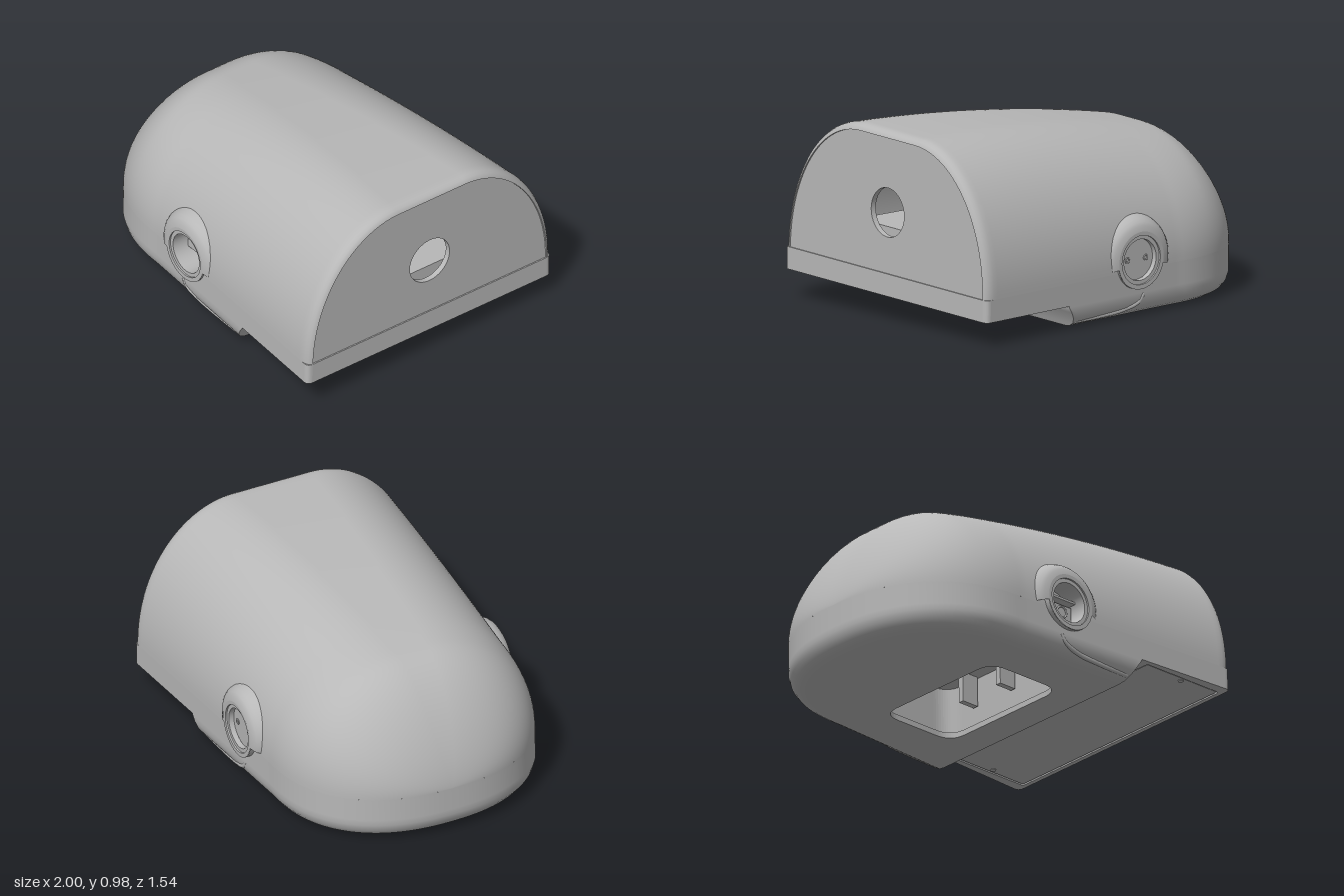
import * as THREE from 'three';

const grey = new THREE.MeshStandardMaterial({ color: 0xb8b8b8, side: THREE.DoubleSide });
grey.name = 'plastic grey';

const SEAM = 0.25, FLOOR = 0.136, BOTTOM = 0.012, ROUND = 2.3;
const SOCKET = { x: -0.07, y: 0.303, z: 0.73 };

// half width, roof height and flat share of the roof along the length
const halfWidth = x => x < -0.35
  ? 0.69 * Math.max(0, 1 - ((-x - 0.35) / 0.65) ** ROUND) ** (1 / ROUND)
  : 0.69 + (x + 0.35) * 0.0586;
const roof = x => {
  const e = x < -0.58 ? Math.max(0, 1 - ((x + 0.58) / 0.42) ** 2) ** 0.69 : 1;
  return SEAM + (0.973 - 0.062 * (0.95 - x) ** 2 - SEAM) * e;
};
const flatShare = x => Math.max(0.12, 0.28 + (x - 0.95) * 0.1);

function add(parent, name, geometry, x = 0, y = 0, z = 0) {
  const mesh = new THREE.Mesh(geometry, grey);
  mesh.name = name;
  mesh.position.set(x, y, z);
  parent.add(mesh);
  return mesh;
}

// skin over rows of points, left open where the side sockets sit
function skin(rows) {
  const n = rows[0].length, index = [];
  for (let r = 0; r < rows.length - 1; r++) {
    for (let c = 0; c < n - 1; c++) {
      const q = [rows[r][c], rows[r + 1][c], rows[r + 1][c + 1], rows[r][c + 1]];
      const cx = q.reduce((s, p) => s + p.x, 0) / 4, cy = q.reduce((s, p) => s + p.y, 0) / 4;
      const wide = q.every(p => Math.abs(p.z) > 0.5);
      if (wide && Math.hypot(cx - SOCKET.x, cy - SOCKET.y) < 0.125) continue;
      const a = r * n + c, b = a + n;
      index.push(a, b, b + 1, a, b + 1, a + 1);
    }
  }
  const g = new THREE.BufferGeometry().setFromPoints(rows.flat());
  g.setIndex(index);
  g.computeVertexNormals();
  return g;
}

// flat-topped arch section, from the left seam over to the right seam
function arch(x, inset = 0) {
  const w = Math.max(0, halfWidth(x) - inset), h = roof(x) - inset - SEAM, f = flatShare(x), half = [];
  for (let i = 0; i <= 32; i++) {
    const a = (i / 32) * Math.PI / 2;
    half.push(new THREE.Vector3(x, SEAM + h * Math.sin(a), w * (f + (1 - f) * Math.cos(a))));
  }
  return [...half, ...half.slice().reverse().map(p => new THREE.Vector3(p.x, p.y, -p.z))];
}

// U-shaped plan outline of the base at one height
function baseLoop(y, inset, rear) {
  const half = [];
  for (let i = 0; i <= 30; i++) {
    const x = rear + (-0.35 - rear) * i / 30;
    half.push(new THREE.Vector3(x, y, halfWidth(x) - inset));
  }
  for (let i = 1; i <= 36; i++) {
    const a = (i / 36) * Math.PI / 2, c = Math.max(0, Math.cos(a));
    half.push(new THREE.Vector3(-0.35 - (0.65 - inset) * Math.sin(a) ** (2 / ROUND), y, (0.69 - inset) * c ** (2 / ROUND)));
  }
  const other = half.slice(0, -1).reverse().map(p => new THREE.Vector3(p.x, p.y, -p.z));
  const loop = [...half, ...other];
  return [...loop, loop[loop.length - 1].clone(), loop[0].clone()];
}

function roundedRect(T, x0, x1, z, r) {
  const s = new T();
  s.moveTo(x0 + r, -z).lineTo(x1 - r, -z).quadraticCurveTo(x1, -z, x1, -z + r)
    .lineTo(x1, z - r).quadraticCurveTo(x1, z, x1 - r, z)
    .lineTo(x0 + r, z).quadraticCurveTo(x0, z, x0, z - r)
    .lineTo(x0, -z + r).quadraticCurveTo(x0, -z, x0 + r, -z);
  return s;
}

// plan of the rear sill, with rounded rear corners
function sillShape() {
  const w0 = halfWidth(0.36), w1 = halfWidth(0.945);
  return new THREE.Shape().moveTo(0.36, -w0).lineTo(0.945, -w1).quadraticCurveTo(0.975, -w1, 0.975, -w1 + 0.033)
    .lineTo(0.975, w1 - 0.033).quadraticCurveTo(0.975, w1, 0.945, w1).lineTo(0.36, w0);
}

// plate lying flat: outline in x and z, from height y0 up to y1
function flatPlate(parent, name, shape, y0, y1) {
  const g = new THREE.ExtrudeGeometry(shape, { depth: y1 - y0, bevelEnabled: false });
  return add(parent, name, g.rotateX(Math.PI / 2), 0, y1, 0);
}

function lathe(points, start = 0, sweep = Math.PI * 2) {
  const v = points.map(p => new THREE.Vector2(p[0], p[1]));
  return new THREE.LatheGeometry(v, 48, start, sweep).rotateX(Math.PI / 2);
}

// round side socket, facing +z
function socket(name, deep) {
  const g = new THREE.Group();
  g.name = name;
  add(g, 'socketHood', lathe([[0.225, -0.085], [0.215, -0.055], [0.204, -0.035], [0.19, -0.019], [0.172, -0.007], [0.145, -0.001]],
    Math.PI / 2 - 0.22, Math.PI + 0.44));
  add(g, 'socketRim', lathe([[0.148, -0.06], [0.148, -0.004]]));
  add(g, 'socketFace', new THREE.RingGeometry(0.125, 0.148, 48), 0, 0, -0.003);
  add(g, 'socketStep', lathe([[0.125, -0.012], [0.125, -0.003]]));
  add(g, 'socketLedge', new THREE.RingGeometry(0.105, 0.125, 48), 0, 0, -0.012);
  const depth = deep ? 0.13 : 0.04;
  add(g, 'socketWall', lathe([[0.105, -depth], [0.105, -0.012]]));
  add(g, 'socketFloor', new THREE.CircleGeometry(0.105, 40), 0, 0, -depth);
  if (deep) {
    add(g, 'latchBar', new THREE.BoxGeometry(0.19, 0.012, 0.06), 0, 0.045, -0.1);
    add(g, 'latchBlock', new THREE.BoxGeometry(0.19, 0.075, 0.03), 0, -0.01, -0.115);
    add(g, 'latchPin', new THREE.TorusGeometry(0.03, 0.005, 8, 28), 0.03, -0.012, -0.098);
    add(g, 'latchPinCentre', new THREE.CircleGeometry(0.012, 16), 0.03, -0.012, -0.097);
  } else {
    for (const s of [-1, 1]) add(g, 'pinHole', new THREE.TorusGeometry(0.012, 0.004, 8, 20), s * 0.06, 0, -depth);
  }
  return g;
}

export function createModel() {
  const model = new THREE.Group();
  model.name = 'housing';
  const body = new THREE.Group();
  body.name = 'body';
  model.add(body);

  // domed hood with a rounded rear rim
  const rows = [];
  for (let i = 0; i < 36; i++) rows.push(arch(-0.35 - 0.65 * Math.cos(i / 36 * Math.PI / 2)));
  for (let i = 0; i <= 50; i++) rows.push(arch(-0.35 + 1.275 * i / 50));
  for (const [x, d] of [[0.945, 0.004], [0.961, 0.012], [0.971, 0.023], [0.975, 0.033], [0.975, 0.033], [0.95, 0.033]]) {
    rows.push(arch(x, d));
  }
  add(body, 'hood', skin(rows));

  // rear panel with a round opening
  const panel = new THREE.Shape(arch(0.95, 0.033).map(p => new THREE.Vector2(p.z, p.y)));
  panel.holes.push(new THREE.Path().absarc(0, 0.56, 0.125, 0, Math.PI * 2, true));
  const panelGeometry = new THREE.ExtrudeGeometry(panel, { depth: 0.03, bevelEnabled: false, curveSegments: 40 });
  add(body, 'rearPanel', panelGeometry.rotateY(Math.PI / 2), 0.938, 0, 0);

  // sill under the rear of the hood, with a recessed cover and screws
  flatPlate(body, 'rearSill', sillShape(), FLOOR + 0.01, SEAM);
  const frame = sillShape();
  frame.holes.push(roundedRect(THREE.Path, 0.465, 0.95, 0.71, 0.02));
  flatPlate(body, 'coverFrame', frame, FLOOR, FLOOR + 0.01);
  flatPlate(body, 'cover', roundedRect(THREE.Shape, 0.472, 0.943, 0.703, 0.02), FLOOR + 0.003, FLOOR + 0.01);
  for (const s of [-1, 1]) {
    add(body, 'coverScrew', new THREE.CylinderGeometry(0.014, 0.014, 0.01, 20), 0.72, FLOOR + 0.004, s * 0.68);
  }

  // base tray with rounded lower edge and sloped rear
  const layers = [[0.012, 0.095, 0.34], [0.02, 0.06, 0.345], [0.038, 0.03, 0.352], [0.065, 0.01, 0.365], [0.1, 0, 0.385]];
  for (let i = 0; i <= 6; i++) layers.push([0.13 + (SEAM - 0.13) * i / 6, 0, 0.405]);
  add(body, 'baseTray', skin(layers.map(l => baseLoop(...l))));
  const sole = new THREE.Shape(baseLoop(BOTTOM, 0.095, 0.34).slice(0, -2).map(p => new THREE.Vector2(p.x, p.z)));
  sole.holes.push(roundedRect(THREE.Path, -0.3, 0.16, 0.39, 0.1));
  flatPlate(body, 'sole', sole, BOTTOM, BOTTOM + 0.03);

  // curved ridges sweeping back from below the sockets
  for (const s of [-1, 1]) {
    const path = new THREE.CatmullRomCurve3([[-0.11, 0.125, 0.695], [-0.08, 0.085, 0.695], [0.02, 0.056, 0.69], [0.15, 0.047, 0.69], [0.34, 0.043, 0.69]]
      .map(p => new THREE.Vector3(p[0], p[1], s * p[2])));
    add(body, 'sideRidge', new THREE.TubeGeometry(path, 30, 0.013, 8));
  }

  // side sockets
  const left = socket('leftSocket', true), right = socket('rightSocket', false);
  left.position.set(SOCKET.x, SOCKET.y, SOCKET.z);
  right.position.set(SOCKET.x, SOCKET.y, -SOCKET.z);
  right.rotation.y = Math.PI;
  body.add(left, right);

  // pocket above the sole opening, with a slotted bar and ribs
  const pocket = roundedRect(THREE.Shape, -0.34, 0.2, 0.45, 0.1);
  pocket.holes.push(roundedRect(THREE.Path, -0.32, 0.18, 0.43, 0.1));
  flatPlate(body, 'pocketWall', pocket, BOTTOM + 0.03, 0.3);
  flatPlate(body, 'pocketDeck', roundedRect(THREE.Shape, -0.34, 0.2, 0.45, 0.1), 0.3, 0.32);
  for (const z of [-0.22, 0.05, 0.25]) add(body, 'innerRib', new THREE.BoxGeometry(0.1, 0.16, 0.03), 0.12, 0.22, z);
  add(body, 'innerBar', new THREE.BoxGeometry(0.05, 0.08, 0.3), -0.14, 0.25, -0.05);

  // ledge and rounded knob behind the rear opening
  add(body, 'innerLedge', new THREE.BoxGeometry(0.5, 0.22, 0.6), 0.65, 0.355, 0);
  add(body, 'innerKnob', new THREE.CapsuleGeometry(0.055, 0.1, 8, 20), 0.62, 0.455, -0.05);

  // slight yaw and roll of the whole housing
  body.rotation.set(-0.018, -0.036, 0);
  body.position.z = -0.03;
  return model;
}
